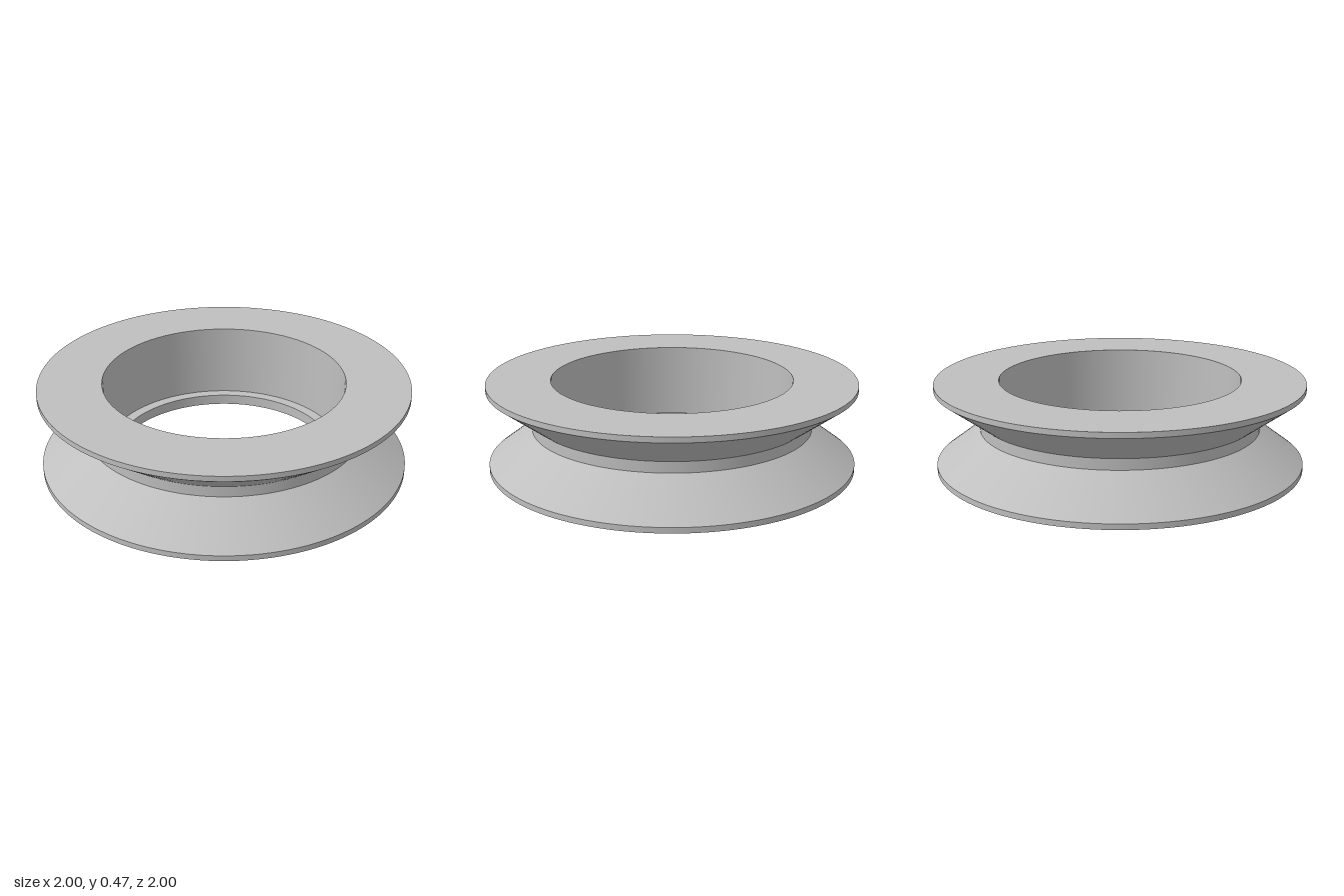
import * as THREE from 'three';
import { mergeGeometries } from 'three/addons/utils/BufferGeometryUtils.js';

const SEGMENTS = 128;

// Revolve a profile with a hard edge at every corner
function revolve(profile) {
  const bands = profile.slice(1).map((end, i) => new THREE.LatheGeometry(
    [new THREE.Vector2(...profile[i]), new THREE.Vector2(...end)], SEGMENTS));
  return mergeGeometries(bands);
}

export function createModel() {
  const metal = new THREE.MeshStandardMaterial({ color: 0xbfbfbf });
  metal.name = 'grey metal';

  const group = new THREE.Group();
  group.name = 'groovedRing';

  // Outside: bottom face, lower rim, V groove with flat floor, upper rim, top face
  const outer = new THREE.Mesh(revolve([
    [0.595, 0], [1, 0], [1, 0.03], [0.763, 0.207],
    [0.763, 0.266], [1, 0.443], [1, 0.472], [0.655, 0.472],
  ]), metal);
  outer.name = 'groovedRim';

  // Inside: wide bore down to a small retaining lip
  const bore = new THREE.Mesh(revolve([
    [0.655, 0.472], [0.655, 0.059], [0.595, 0.059], [0.595, 0],
  ]), metal);
  bore.name = 'steppedBore';

  group.add(outer, bore);
  return group;
}
